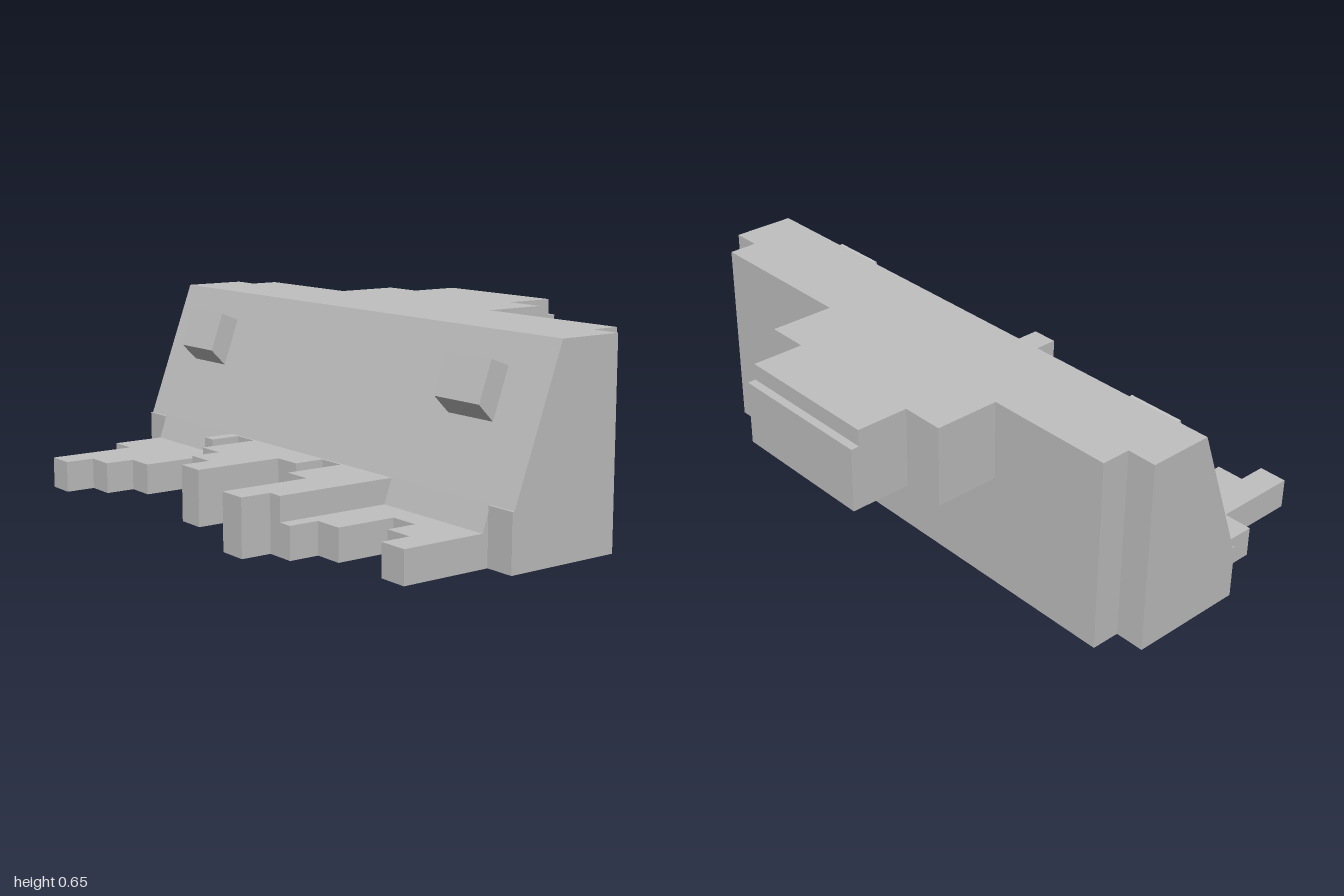
import * as THREE from 'three';

export function createModel() {
  const model = new THREE.Group();
  const grey = new THREE.MeshStandardMaterial({ color: 0xc0c0c0 });
  grey.name = 'plain grey';

  const add = (name, geometry) => {
    const mesh = new THREE.Mesh(geometry, grey);
    mesh.name = name;
    model.add(mesh);
  };

  // Side outline given as [z, y] points, extruded from x0 to x1
  const slab = (name, x0, x1, points) => {
    const shape = new THREE.Shape(points.map(([z, y]) => new THREE.Vector2(z, y)));
    const g = new THREE.ExtrudeGeometry(shape, { depth: x1 - x0, bevelEnabled: false });
    g.rotateY(-Math.PI / 2).translate(x1, 0, 0);
    add(name, g);
  };

  const box = (name, x0, x1, y0, y1, z0, z1) => {
    const g = new THREE.BoxGeometry(x1 - x0, y1 - y0, z1 - z0);
    g.translate((x0 + x1) / 2, (y0 + y1) / 2, (z0 + z1) / 2);
    add(name, g);
  };

  // Wedge body: sloped front, narrower at the back corners
  const highFoot = [[0.21, 0], [0.21, 0.183], [0.202, 0.183], [0.03, 0.652]];
  const lowFoot = [[0.23, 0], [0.23, 0.104], [0.202, 0.183], [0.03, 0.652]];
  const wedge = (front, back) => [[back, 0], ...front, [back, 0.652]];
  slab('bodyCentre', -0.45, 0.45, wedge(highFoot, -0.287));
  for (const s of [-1, 1]) {
    const span = (a, b) => (s > 0 ? [a, b] : [-b, -a]);
    slab('bodyFlank', ...span(0.45, 0.9), wedge(lowFoot, -0.287));
    slab('bodyEnd', ...span(0.9, 1), wedge(highFoot, -0.188));
    // Lamp blocks standing on the slope
    slab('lamp', ...span(0.618, 0.816), [[0.122, 0.4], [0.176, 0.455], [0.13, 0.583], [0.065, 0.558]]);
  }

  // Stepped overhang at the back
  box('overhangWide', -0.46, 0.338, 0.384, 0.652, -0.508, -0.287);
  slab('overhangNarrow', -0.316, 0.195,
    [[-0.508, 0.384], [-0.508, 0.652], [-0.685, 0.652], [-0.685, 0.597], [-0.713, 0.597], [-0.713, 0.384]]);

  // Jagged row of teeth: front z of each 0.1 wide column from x = -0.9
  const reach = [0.41, 0.71, 0.61, 0.51, 0.31, 0, 0.41, 0.51, 0.61,
    0.31, 0, 0.41, 0.71, 0.61, 0.51, 0.31, 0.41, 0.51];
  reach.forEach((z, i) => {
    if (!z) return;
    // Half columns let the height change at x = -0.45 and 0.45
    for (const half of [0, 1]) {
      const x = -0.9 + i * 0.1 + half * 0.05;
      const high = Math.abs(x + 0.025) < 0.45;
      box('tooth', x, x + 0.05, 0, high ? 0.183 : 0.104, high ? 0.2 : 0.21, z + 0.003);
    }
  });

  return model;
}
